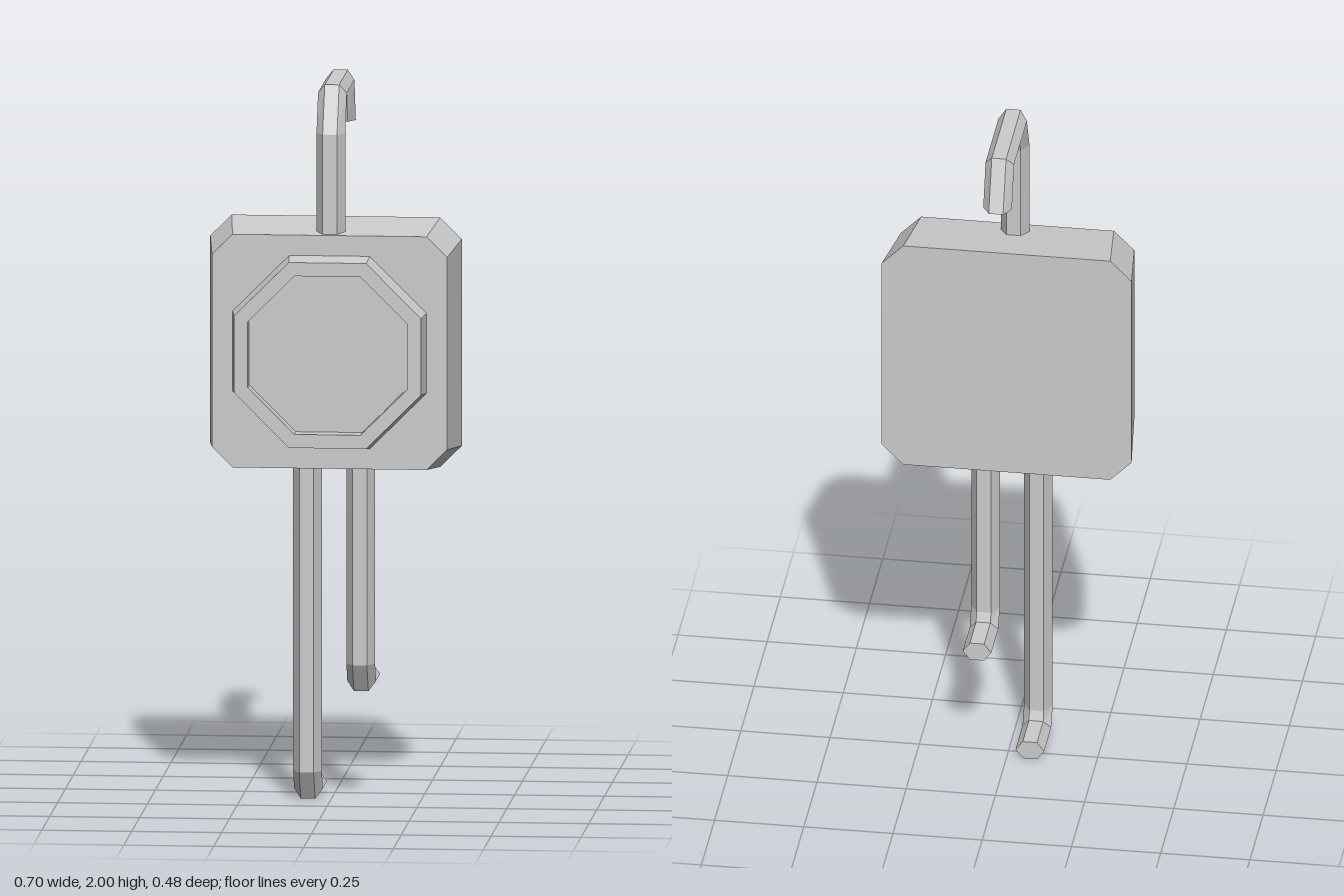
import * as THREE from 'three';

const material = new THREE.MeshStandardMaterial({ color: 0xcccccc, flatShading: true });

// Skins a list of equal-length rings (counter-clockwise about the travel direction) and caps both ends
function loft(name, rings) {
  const pos = [];
  const tri = (...pts) => pts.forEach((p) => pos.push(...p));
  const n = rings[0].length;
  for (let r = 0; r < rings.length - 1; r++) {
    const a = rings[r], b = rings[r + 1];
    for (let j = 0; j < n; j++) {
      const k = (j + 1) % n;
      tri(a[j], a[k], b[k]);
      tri(a[j], b[k], b[j]);
    }
  }
  const first = rings[0], last = rings[rings.length - 1];
  for (let j = 1; j < n - 1; j++) {
    tri(first[0], first[j + 1], first[j]);
    tri(last[0], last[j], last[j + 1]);
  }
  const geo = new THREE.BufferGeometry();
  geo.setAttribute('position', new THREE.Float32BufferAttribute(pos, 3));
  geo.computeVertexNormals();
  const mesh = new THREE.Mesh(geo, material);
  mesh.name = name;
  return mesh;
}

// Square of half-size a with cut corners; b is where each corner cut begins
const cutSquare = (a, b, z) =>
  [[a, -b], [a, b], [b, a], [-b, a], [-a, b], [-a, -b], [-b, -a], [b, -a]].map(([x, y]) => [x, y, z]);

const octagon = (a, z) => cutSquare(a, a * Math.tan(Math.PI / 8), z);

// Six-sided rod section between an outer and an inner point of the side profile
function rodRing([zo, yo, zi, yi]) {
  const zm = (zo + zi) / 2, ym = (yo + yi) / 2;
  return [
    [0.02, yo, zo], [0.04, ym, zm], [0.02, yi, zi],
    [-0.02, yi, zi], [-0.04, ym, zm], [-0.02, yo, zo],
  ];
}

export function createModel() {
  const group = new THREE.Group();
  const centreY = 1.262;

  // Tapered case
  const body = loft('case', [cutSquare(0.35, 0.29, -0.035), cutSquare(0.327, 0.27, 0.172)]);
  body.position.y = centreY;
  group.add(body);

  // Octagonal rim with a recessed face
  const rim = loft('dialRim', [
    octagon(0.27, 0.172), octagon(0.26, 0.238), octagon(0.222, 0.238), octagon(0.222, 0.188),
  ]);
  rim.position.y = centreY;
  group.add(rim);

  // Hanging hook: [outer z, outer y, inner z, inner y] along the bends
  group.add(loft('topHook', [
    [0.162, 1.56, 0.093, 1.56],
    [0.162, 1.87, 0.093, 1.87],
    [0.094, 2.0, 0.062, 1.95],
    [-0.182, 2.0, -0.148, 1.95],
    [-0.24, 1.855, -0.175, 1.855],
  ].map(rodRing)));

  // Two rods of different length, each bent backwards at the foot
  for (const [name, x, base] of [['longRod', -0.065, 0], ['shortRod', 0.083, 0.303]]) {
    const rod = loft(name, [
      [-0.035, base, -0.035, base + 0.053],
      [0.113, base, 0.083, base + 0.053],
      [0.162, base + 0.08, 0.093, base + 0.08],
      [0.162, 0.98, 0.093, 0.98],
    ].map(rodRing));
    rod.position.x = x;
    group.add(rod);
  }
  return group;
}
